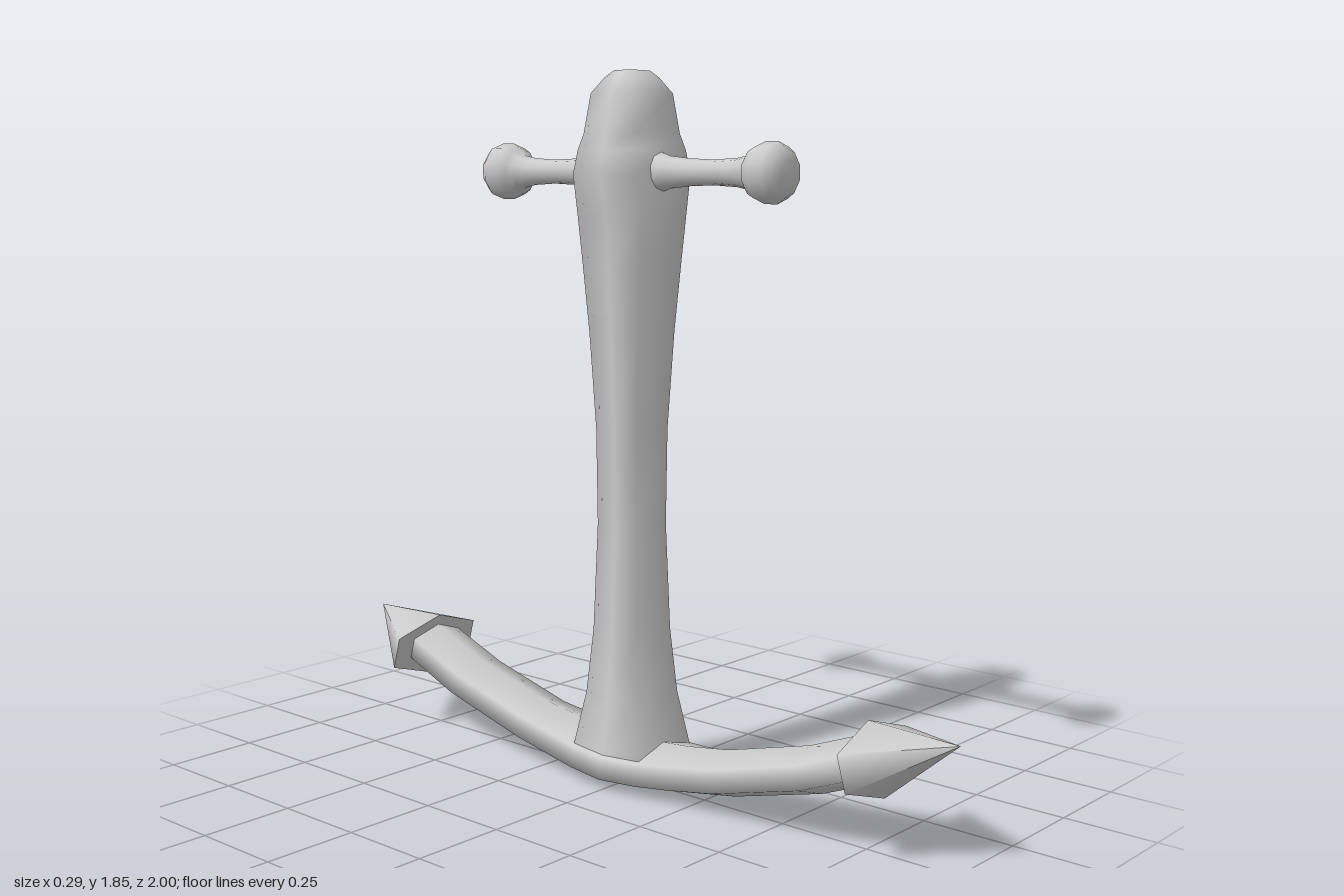
import * as THREE from 'three';

const material = new THREE.MeshStandardMaterial({ color: 0xcccccc, side: THREE.DoubleSide });

// Skin a list of equal-sized rings; each end gets a flat cap with its own vertices.
function loft(name, rings) {
  const n = rings[0].length;
  const points = rings.flat();
  const index = [];
  for (let i = 0; i < rings.length - 1; i++) {
    for (let j = 0; j < n; j++) {
      const a = i * n + j, b = i * n + (j + 1) % n;
      index.push(a, b, b + n, a, b + n, a + n);
    }
  }
  const first = points.length, last = first + n;
  points.push(...rings[0], ...rings[rings.length - 1]);
  for (let j = 1; j < n - 1; j++) {
    index.push(first, first + j + 1, first + j, last, last + j, last + j + 1);
  }
  const geometry = new THREE.BufferGeometry().setFromPoints(points);
  geometry.setIndex(index);
  geometry.computeVertexNormals();
  return named(name, geometry);
}

function named(name, geometry) {
  const mesh = new THREE.Mesh(geometry, material);
  mesh.name = name;
  return mesh;
}

// Six-sided section in a plane tilted about x, with ridges above and below.
function hexRing(y, z, w, h, side, slope) {
  const angle = Math.atan(slope), c = Math.cos(angle), s = Math.sin(angle);
  return [[w, -side], [w, side], [0, h], [-w, side], [-w, -side], [0, -h]]
    .map(([x, up]) => new THREE.Vector3(x, y + up * c, z - up * s));
}

export function createModel() {
  const model = new THREE.Group();
  model.name = 'anchor';

  // Shank: height, half width in x, half depth in z
  const shank = [
    [0.05, 0.125, 0.125], [0.13, 0.112, 0.11], [0.25, 0.092, 0.088], [0.42, 0.077, 0.074],
    [0.7, 0.067, 0.066], [0.95, 0.069, 0.069], [1.2, 0.08, 0.083], [1.36, 0.088, 0.097],
    [1.5, 0.098, 0.108], [1.6, 0.121, 0.104], [1.66, 0.108, 0.098], [1.7, 0.1, 0.084],
    [1.8, 0.082, 0.074], [1.84, 0.055, 0.048], [1.857, 0.038, 0.03],
  ];
  model.add(loft('shank', shank.map(([y, w, d]) => {
    const c = w * 0.88;
    return [[c, d], [w, 0], [c, -d], [-c, -d], [-w, 0], [-c, d]]
      .map(([x, z]) => new THREE.Vector3(x, y, z));
  })));

  // Curved arms: one sweep, widest under the shank
  const stations = [[0, 0.13], [0.11, 0.115], [0.2, 0.1], [0.34, 0.09], [0.6, 0.088], [0.8, 0.085]];
  const sweep = [...stations.slice(1).reverse().map(([z, w]) => [-z, w]), ...stations];
  model.add(loft('arms', sweep.map(([z, w]) =>
    hexRing(0.07 + 0.285 * z * z, z, w, 0.06, 0.03, 0.57 * z))));

  // Half profile of the crossbar: radius, distance from the shank
  const barProfile = [
    [0.055, 0], [0.052, 0.09], [0.04, 0.13], [0.034, 0.19], [0.031, 0.27], [0.035, 0.34],
    [0.043, 0.385], [0.061, 0.398], [0.074, 0.424], [0.074, 0.462], [0.058, 0.485],
    [0.03, 0.495], [0, 0.497],
  ].map(([r, d]) => new THREE.Vector2(r, d));

  // Fluke and crossbar half, repeated front and back
  for (const [label, turn] of [['front', 0], ['back', Math.PI]]) {
    const end = new THREE.Group();
    end.name = label + 'End';
    end.rotation.y = turn;

    const tip = new THREE.Vector3(0, 0.32, 1);
    const base = hexRing(0.238, 0.773, 0.145, 0.094, 0.046, 0.28);
    end.add(loft(label + 'Fluke', [base, base.map(() => tip.clone())]));

    const bar = named(label + 'Crossbar', new THREE.LatheGeometry(barProfile, 10));
    bar.rotation.x = Math.PI / 2;
    bar.position.y = 1.605;
    end.add(bar);
    model.add(end);
  }
  return model;
}
